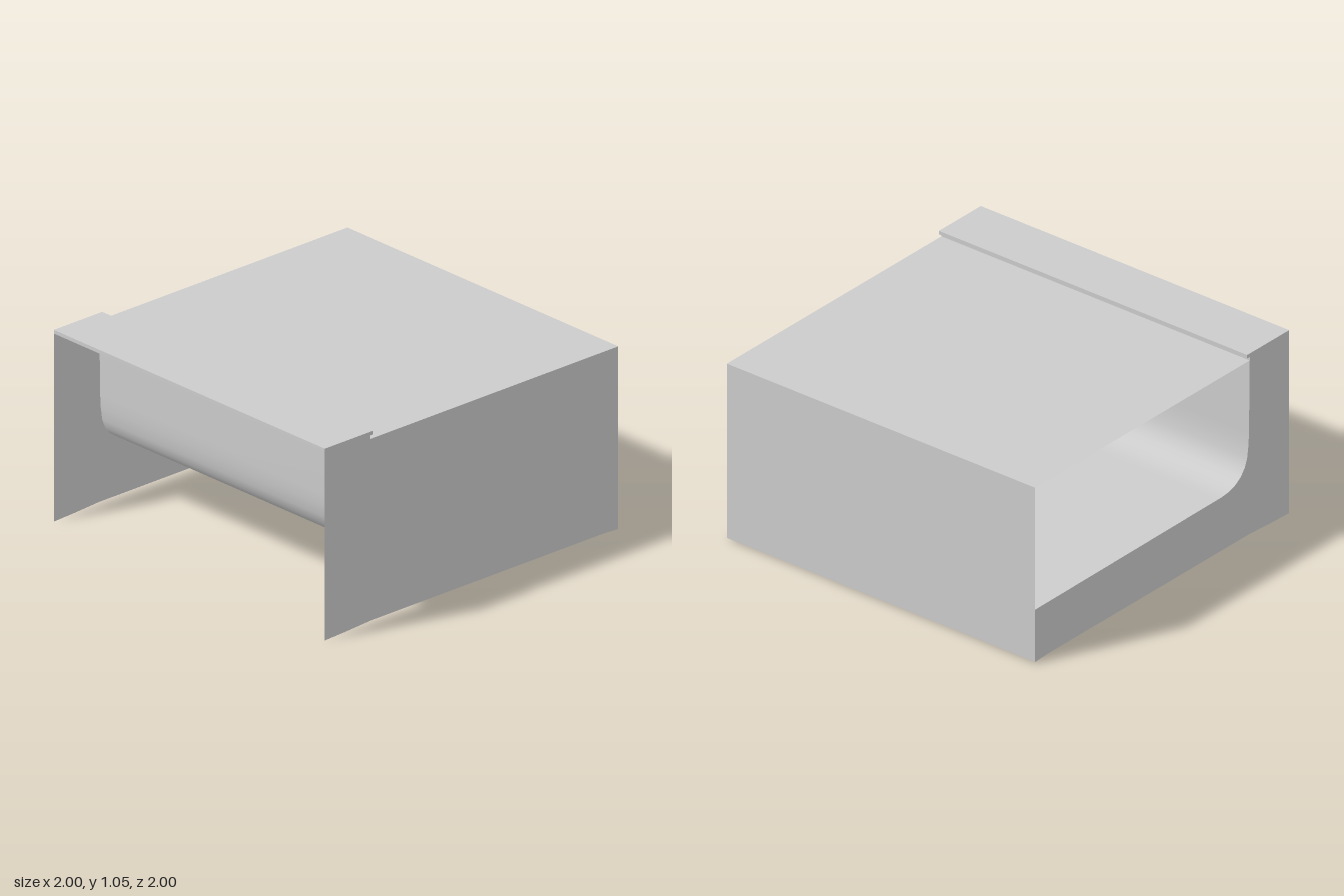
import * as THREE from 'three';

const material = new THREE.MeshStandardMaterial({ color: 0xcccccc, side: THREE.DoubleSide });

// Trough profile in x, y: flat floor, rounded corner, upright riser
const floorEnd = [1, 0.31];
const corner = [[-0.47, 0.32], [-0.53, 0.327], [-0.58, 0.345], [-0.62, 0.372], [-0.65, 0.41], [-0.67, 0.46], [-0.68, 0.53]];
const profile = [floorEnd, [-0.42, 0.32], ...corner, [-0.684, 0.6], [-0.69, 1.03]];

// Slightly uneven lower edge of both end panels, from x = -1 to x = 1
const bottom = [[-1, 0], [-0.87, 0.005], [-0.69, 0.015], [0.9, 0.015], [1, 0.01]];

export function createModel() {
  const model = new THREE.Group();

  const add = (name, geometry, x = 0, y = 0, z = 0) => {
    const mesh = new THREE.Mesh(geometry, material);
    mesh.name = name;
    mesh.position.set(x, y, z);
    model.add(mesh);
    return mesh;
  };
  const panel = (points) =>
    new THREE.ShapeGeometry(new THREE.Shape(points.map(([x, y]) => new THREE.Vector2(x, y))));

  // Closed front panel, full height
  add('frontPanel', panel([...bottom, [1, 1.01], [-0.69, 1.01], [-0.69, 1.03], [-1, 1.03]]), 0, 0, 1);

  // Back panel, cut open above the trough
  add('backPanel', panel([...bottom, ...profile, [-1, 1.03]]), 0, 0, -1).scale.z = -1;

  // Trough sheet swept from back to front
  const sheet = new THREE.PlaneGeometry(2, 2, profile.length - 1, 1);
  const pos = sheet.attributes.position;
  for (let i = 0; i < pos.count; i++) {
    const [x, y] = profile[i % profile.length];
    pos.setXYZ(i, x, y, i < profile.length ? 1 : -1);
  }
  sheet.computeVertexNormals();
  add('trough', sheet);

  // Side wall at x = 1
  add('sideWall', new THREE.PlaneGeometry(2, 1).rotateY(Math.PI / 2), 1, 0.51, 0);

  // Flat lid over the trough
  add('lid', new THREE.PlaneGeometry(1.69, 2).rotateX(-Math.PI / 2), 0.155, 1.01, 0);

  // Raised ledge overhanging the riser
  add('ledge', new THREE.BoxGeometry(0.33, 0.02, 2), -0.835, 1.04, 0);

  return model;
}
